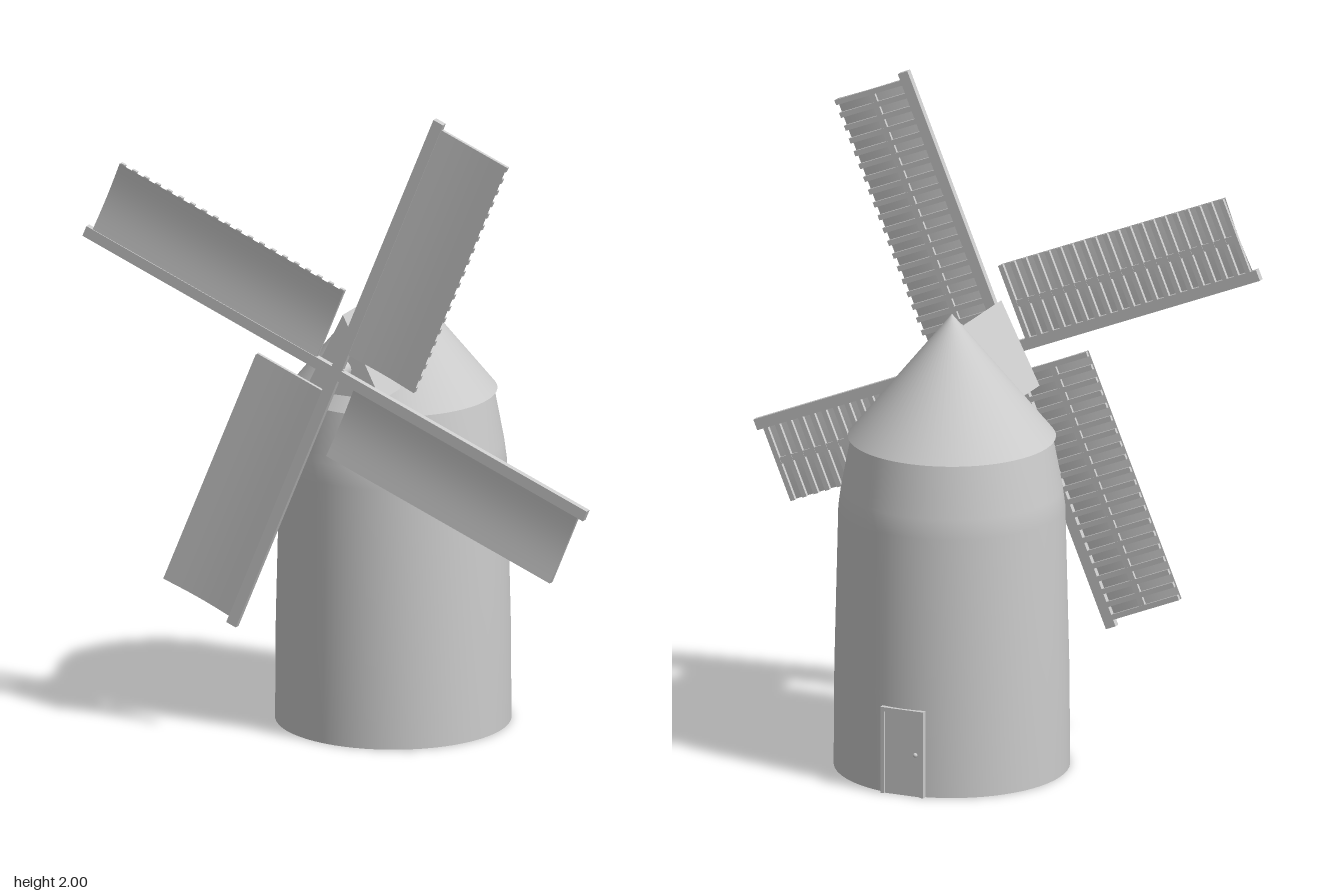
import * as THREE from 'three';

const grey = new THREE.MeshStandardMaterial({ color: 0xcccccc });
const greyDouble = new THREE.MeshStandardMaterial({ color: 0xcccccc, side: THREE.DoubleSide });

function add(parent, name, geometry, x = 0, y = 0, z = 0, material = grey) {
  const mesh = new THREE.Mesh(geometry, material);
  mesh.name = name;
  mesh.position.set(x, y, z);
  parent.add(mesh);
  return mesh;
}

// Box given by its lower and upper limits on each axis
function addBox(parent, name, [x0, x1], [y0, y1], [z0, z1]) {
  return add(parent, name, new THREE.BoxGeometry(x1 - x0, y1 - y0, z1 - z0),
    (x0 + x1) / 2, (y0 + y1) / 2, (z0 + z1) / 2);
}

// One sail: arm along +y, lattice and cloth towards +x, thin in z
function createSail() {
  const sail = new THREE.Group();
  sail.name = 'sail';
  const inner = 0.073, outer = 0.868, edge = 0.25;
  addBox(sail, 'sailArm', [-0.017, 0.017], [-0.017, 0.889], [-0.01, 0.01]);

  // Cloth sagging slightly between its long edges
  const cloth = new THREE.PlaneGeometry(edge, outer - inner, 12, 1);
  const p = cloth.attributes.position;
  for (let i = 0; i < p.count; i++) {
    const t = p.getX(i) / edge + 0.5;
    p.setZ(i, 0.009 - 0.008 * Math.sin(Math.PI * t));
  }
  cloth.computeVertexNormals();
  add(sail, 'sailCloth', cloth, edge / 2, (inner + outer) / 2, 0, greyDouble);

  // Lattice behind the cloth
  const bars = 20, width = 0.016;
  for (let i = 0; i < bars; i++) {
    const y = inner + (outer - inner - width) * i / (bars - 1);
    addBox(sail, 'sailCrossbar', [0.01, edge], [y, y + width], [-0.01, 0.001]);
  }
  addBox(sail, 'sailMiddleBar', [0.115, 0.135], [inner, outer], [-0.009, 0]);
  return sail;
}

export function createModel() {
  const model = new THREE.Group();
  model.name = 'windmill';
  const axisZ = -0.025;

  // Tower, open underneath
  const profile = [[0.352, 0], [0.35, 0.3], [0.338, 0.8], [0.33, 0.86], [0.3, 1.02]]
    .map(([r, y]) => new THREE.Vector2(r, y));
  add(model, 'tower', new THREE.LatheGeometry(profile, 64), 0, 0, axisZ, greyDouble);

  // Conical cap
  add(model, 'cap', new THREE.ConeGeometry(0.31, 0.38, 64, 1, true), 0, 1.21, axisZ, greyDouble);

  // Gabled housing for the shaft
  const gable = new THREE.Shape([
    new THREE.Vector2(-0.125, 1.09), new THREE.Vector2(0.125, 1.09), new THREE.Vector2(0, 1.34)]);
  add(model, 'shaftHousing',
    new THREE.ExtrudeGeometry(gable, { depth: 0.33 - axisZ, bevelEnabled: false }), 0, 0, axisZ);

  // Shaft and sails
  const hubY = 1.173, sailZ = 0.378;
  const shaft = add(model, 'shaft', new THREE.CylinderGeometry(0.028, 0.028, 0.08, 24), 0, hubY, 0.34);
  shaft.rotation.x = Math.PI / 2;
  const sails = new THREE.Group();
  sails.name = 'sails';
  sails.position.set(0, hubY, sailZ);
  for (let i = 0; i < 4; i++) {
    const sail = createSail();
    sail.rotation.z = -Math.PI / 8 - i * Math.PI / 2;
    sails.add(sail);
  }
  model.add(sails);

  // Door at the back
  const door = new THREE.Group();
  door.name = 'door';
  addBox(door, 'doorPanel', [-0.06, 0.06], [0, 0.255], [-0.379, -0.36]);
  for (const s of [-1, 1]) {
    addBox(door, 'doorPost', [s * 0.064 - 0.006, s * 0.064 + 0.006], [0, 0.255], [-0.385, -0.36]);
  }
  addBox(door, 'doorLintel', [-0.07, 0.07], [0.255, 0.268], [-0.385, -0.355]);
  add(door, 'doorHandle', new THREE.SphereGeometry(0.007, 12, 8), -0.042, 0.13, -0.381);
  model.add(door);

  return model;
}
